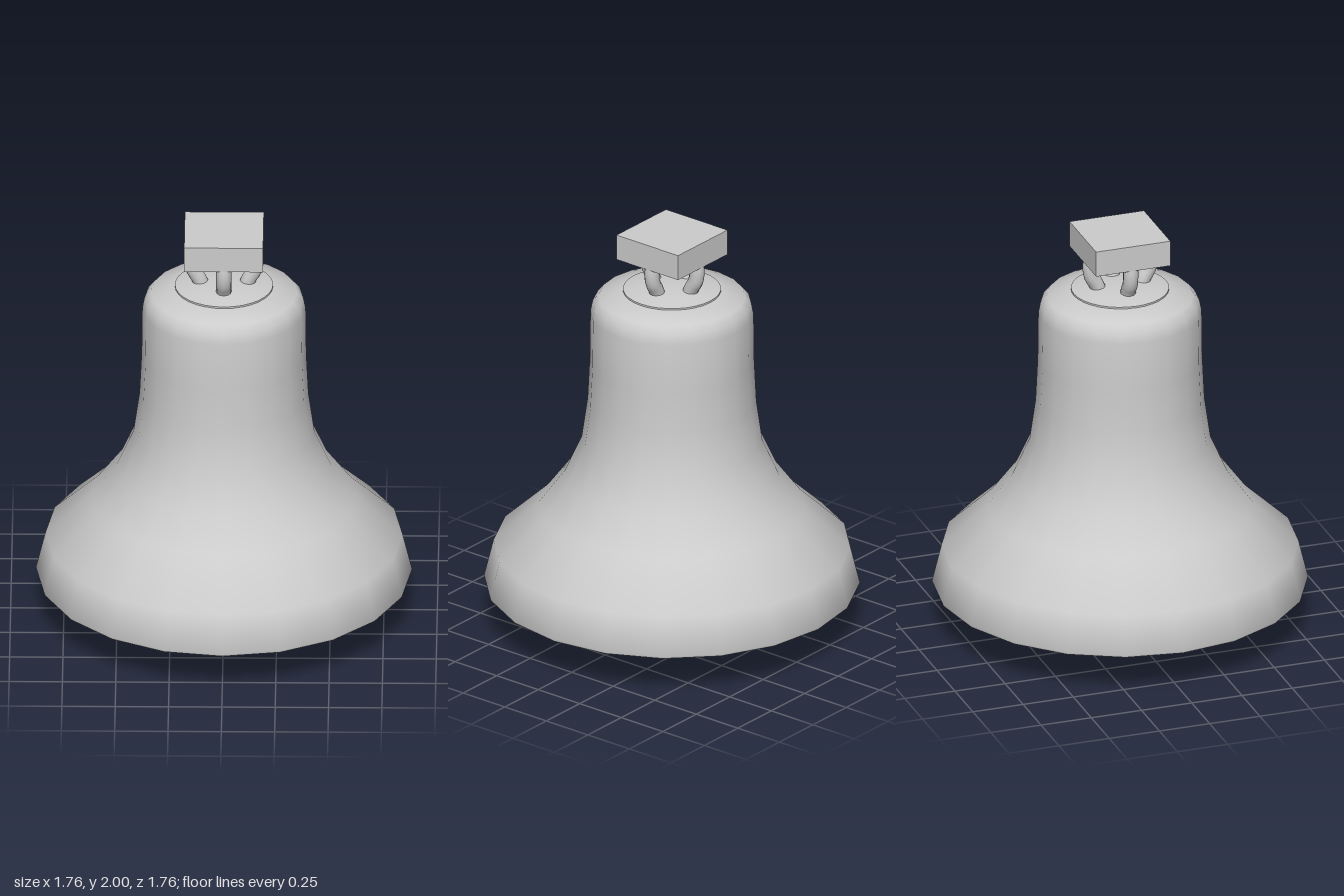
import * as THREE from 'three';
import { toCreasedNormals } from 'three/addons/utils/BufferGeometryUtils.js';

const material = new THREE.MeshStandardMaterial({ color: 0xcccccc });

function addMesh(parent, name, geometry) {
  const mesh = new THREE.Mesh(geometry, material);
  mesh.name = name;
  parent.add(mesh);
  return mesh;
}

// Turned part from [radius, height] pairs; only sharp corners are creased
function turned(points, sides) {
  const profile = points.map(([r, y]) => new THREE.Vector2(r, y));
  return toCreasedNormals(new THREE.LatheGeometry(profile, sides), Math.PI / 3.2);
}

export function createModel() {
  const bell = new THREE.Group();
  bell.name = 'bell';

  // Bell wall: thick above a narrow rim; inside downwards, then outside upwards
  const inner = [
    [0, 1.65], [0.22, 1.645], [0.29, 1.62], [0.315, 1.57], [0.32, 1.35], [0.328, 1.15],
    [0.352, 0.98], [0.41, 0.82], [0.496, 0.67], [0.69, 0.46], [0.868, 0.205],
  ];
  const outer = [
    [0.878, 0.205], [0.882, 0.215], [0.837, 0.4], [0.623, 0.6], [0.504, 0.76], [0.424, 0.94],
    [0.396, 1.14], [0.386, 1.35], [0.383, 1.59], [0.373, 1.64], [0.344, 1.675], [0.23, 1.705],
    [0, 1.715],
  ];
  addMesh(bell, 'bellBody', turned([...inner, ...outer], 20));

  // Low domed cap on the crown
  addMesh(bell, 'crownCap', turned(
    [[0.23, 1.7], [0.23, 1.713], [0.16, 1.728], [0.08, 1.737], [0, 1.74]], 32));

  // Four bent arms carrying the mounting block
  const armPath = new THREE.CatmullRomCurve3([
    [0.1, 1.70], [0.118, 1.748], [0.142, 1.79], [0.15, 1.835], [0.145, 1.89],
  ].map(([x, y]) => new THREE.Vector3(x, y, 0)));
  const armGeometry = new THREE.TubeGeometry(armPath, 10, 0.036, 12);
  for (let i = 0; i < 4; i++) {
    addMesh(bell, 'crownArm', armGeometry).rotation.y = i * Math.PI / 2;
  }

  const block = addMesh(bell, 'mountingBlock', new THREE.BoxGeometry(0.37, 0.126, 0.37));
  block.position.y = 1.937;

  // Clapper: flared tail, ball and long rod up to the crown
  addMesh(bell, 'clapper', turned([
    [0, 0], [0.055, 0], [0.048, 0.06], [0.036, 0.115], [0.05, 0.135], [0.073, 0.155],
    [0.088, 0.185], [0.09, 0.215], [0.083, 0.25], [0.065, 0.28], [0.042, 0.305],
    [0.032, 0.34], [0.027, 0.6], [0.027, 1.66],
  ], 16));

  return bell;
}
